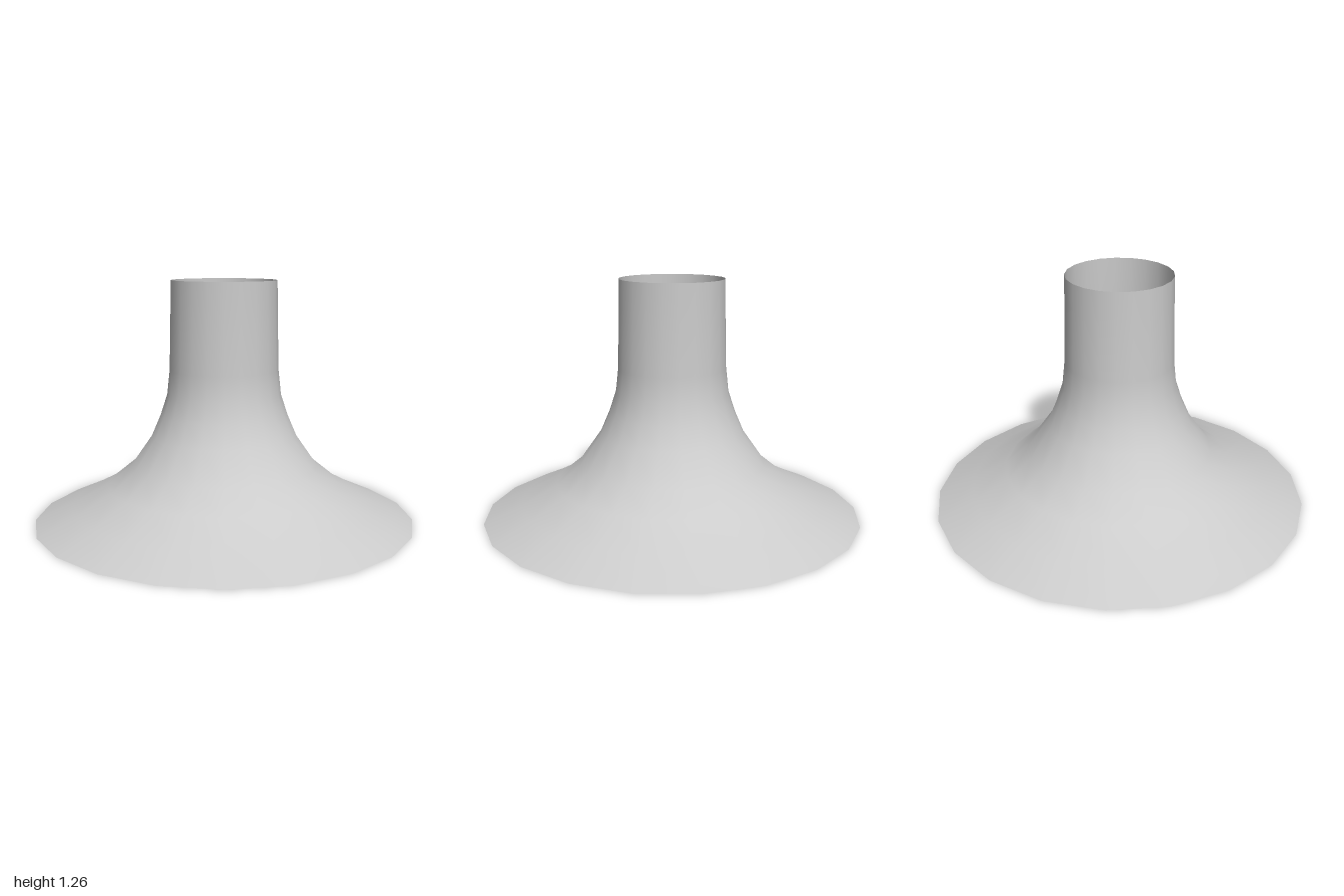
import * as THREE from 'three';

export function createModel() {
  const model = new THREE.Group();
  model.name = 'flaredFunnel';

  // Thin-walled profile (radius, height), from the wide rim up to the neck
  const profile = [
    [1.003, 0], [0.81, 0.087], [0.62, 0.187], [0.494, 0.289], [0.382, 0.449],
    [0.334, 0.561], [0.299, 0.668], [0.285, 0.797], [0.277, 1.13], [0.275, 1.26],
  ].map(([r, y]) => new THREE.Vector2(r, y));

  // 21 sides with one corner pointing straight back, open at both ends
  const funnel = new THREE.Mesh(
    new THREE.LatheGeometry(profile, 21, Math.PI),
    new THREE.MeshStandardMaterial({ color: 0xcccccc, side: THREE.DoubleSide })
  );
  funnel.name = 'funnelShell';
  // The odd side count makes the rim uneven front to back, so recentre it
  funnel.position.z = 0.0056;
  model.add(funnel);

  return model;
}
